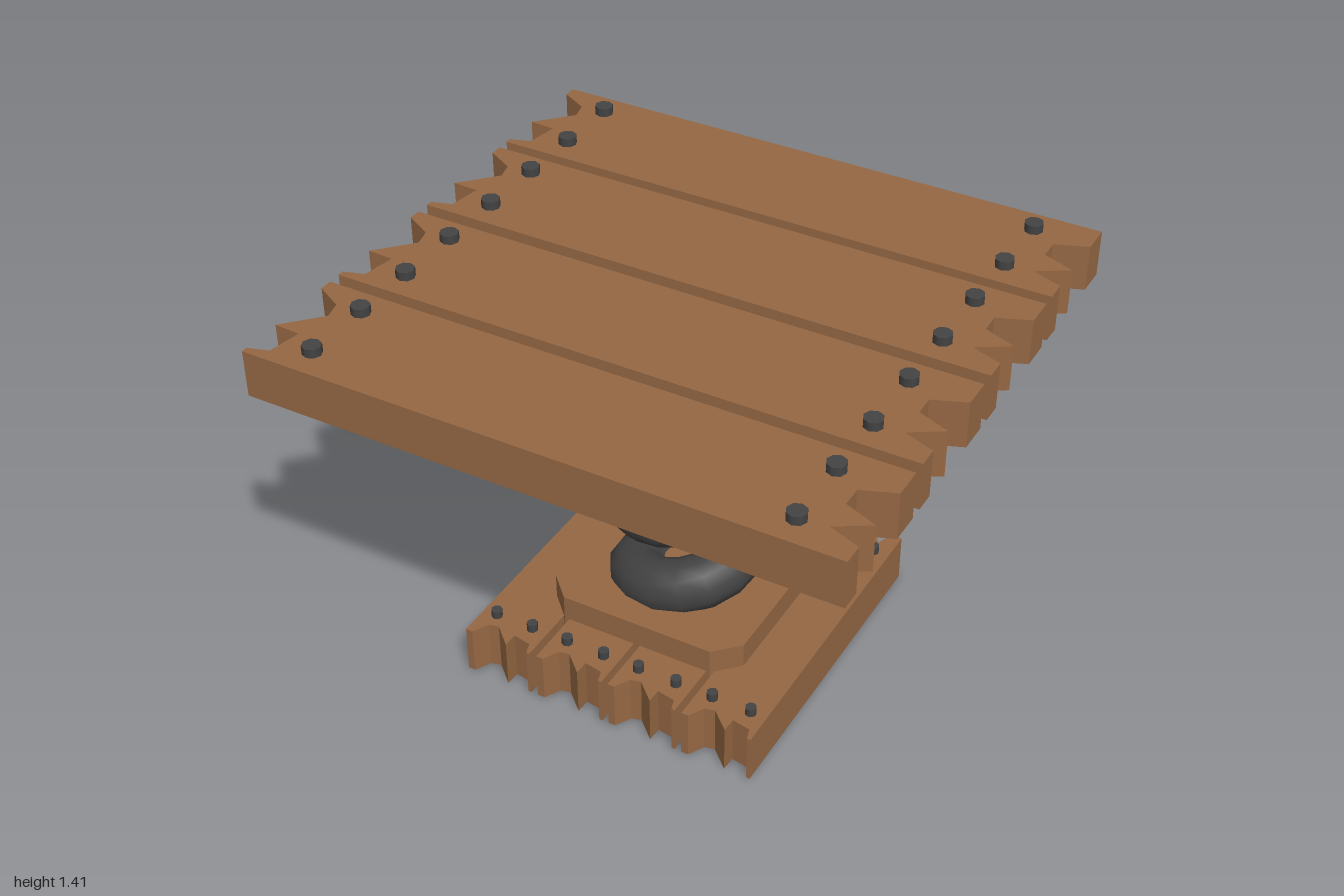
import * as THREE from 'three';

const wood = new THREE.MeshStandardMaterial({ color: 0x956743 });
wood.name = 'wood';
const iron = new THREE.MeshStandardMaterial({ color: 0x434343 });
iron.name = 'darkIron';

// Splintered ends of a plank: [half-length factor, fraction across the width]
const LEFT_END = [[-1, 0], [-1, 0.1], [-0.905, 0.22], [-0.89, 0.36], [-1, 0.63],
  [-0.91, 0.64], [-0.93, 0.9], [-1, 0.95], [-1, 1]];
const RIGHT_END = [[1, 1], [1, 0.84], [0.895, 0.75], [1, 0.6], [0.89, 0.5],
  [0.89, 0.34], [1, 0.24], [1, 0]];

// Extrudes an outline of [x, z] points upward from y0 to y1
function slab(points, y0, y1) {
  const shape = new THREE.Shape(points.map(([x, z]) => new THREE.Vector2(x, -z)));
  const geometry = new THREE.ExtrudeGeometry(shape, { depth: y1 - y0, bevelEnabled: false });
  return geometry.rotateX(-Math.PI / 2).translate(0, y0, 0);
}

function addMesh(parent, name, geometry, material) {
  const mesh = new THREE.Mesh(geometry, material);
  mesh.name = name;
  parent.add(mesh);
  return mesh;
}

// Row of four planks along x, each with two bolts at both ends
function plankDeck(name, halfLength, width, centers, y0, y1, boltRadius) {
  const deck = new THREE.Group();
  deck.name = name;
  const outline = [...LEFT_END, ...RIGHT_END].map(([x, f]) => [x * halfLength, (f - 0.5) * width]);
  const plank = slab(outline, y0, y1);
  const bolt = new THREE.CylinderGeometry(boltRadius, boltRadius, 0.06, 8);
  for (const z of centers) {
    addMesh(deck, 'plank', plank, wood).position.z = z;
    for (const x of [-0.812, 0.802]) {
      for (const side of [-1, 1]) {
        addMesh(deck, 'bolt', bolt, iron).position.set(x * halfLength, y1, z + side * width * 0.28);
      }
    }
  }
  return deck;
}

// Square block with cut corners
function cornerCutBlock(half, flat, y0, y1) {
  return slab([[half, -flat], [half, flat], [flat, half], [-flat, half],
    [-half, flat], [-half, -flat], [-flat, -half], [flat, -half]], y0, y1);
}

class Helix extends THREE.Curve {
  getPoint(t, target = new THREE.Vector3()) {
    const a = t * Math.PI * 8;
    return target.set(0.18 * Math.cos(a), 0.097 + 1.153 * t, -0.18 * Math.sin(a));
  }
}

export function createModel() {
  const model = new THREE.Group();
  model.name = 'springPlatform';

  // Upper platform and its mounting block
  model.add(plankDeck('topDeck', 1, 0.437, [-0.727, -0.246, 0.24, 0.722], 1.225, 1.387, 0.032));
  addMesh(model, 'topBlock', cornerCutBlock(0.573, 0.44, 1.057, 1.31), wood);

  // Lower platform, planks running front to back
  const base = plankDeck('baseDeck', 0.571, 0.251, [-0.411, -0.134, 0.14, 0.415], 0.016, 0.19, 0.019);
  base.rotation.y = Math.PI / 2;
  model.add(base);
  addMesh(model, 'baseBlock', cornerCutBlock(0.36, 0.278, 0.1, 0.28), wood);

  // Coil spring with closed ends
  const helix = new Helix();
  addMesh(model, 'spring', new THREE.TubeGeometry(helix, 64, 0.096, 12), iron);
  for (const t of [0, 1]) {
    const cap = addMesh(model, 'springEnd', new THREE.CircleGeometry(0.096, 12), iron);
    const outward = helix.getTangent(t).multiplyScalar(t ? 1 : -1);
    cap.position.copy(helix.getPoint(t));
    cap.quaternion.setFromUnitVectors(new THREE.Vector3(0, 0, 1), outward);
  }
  return model;
}
